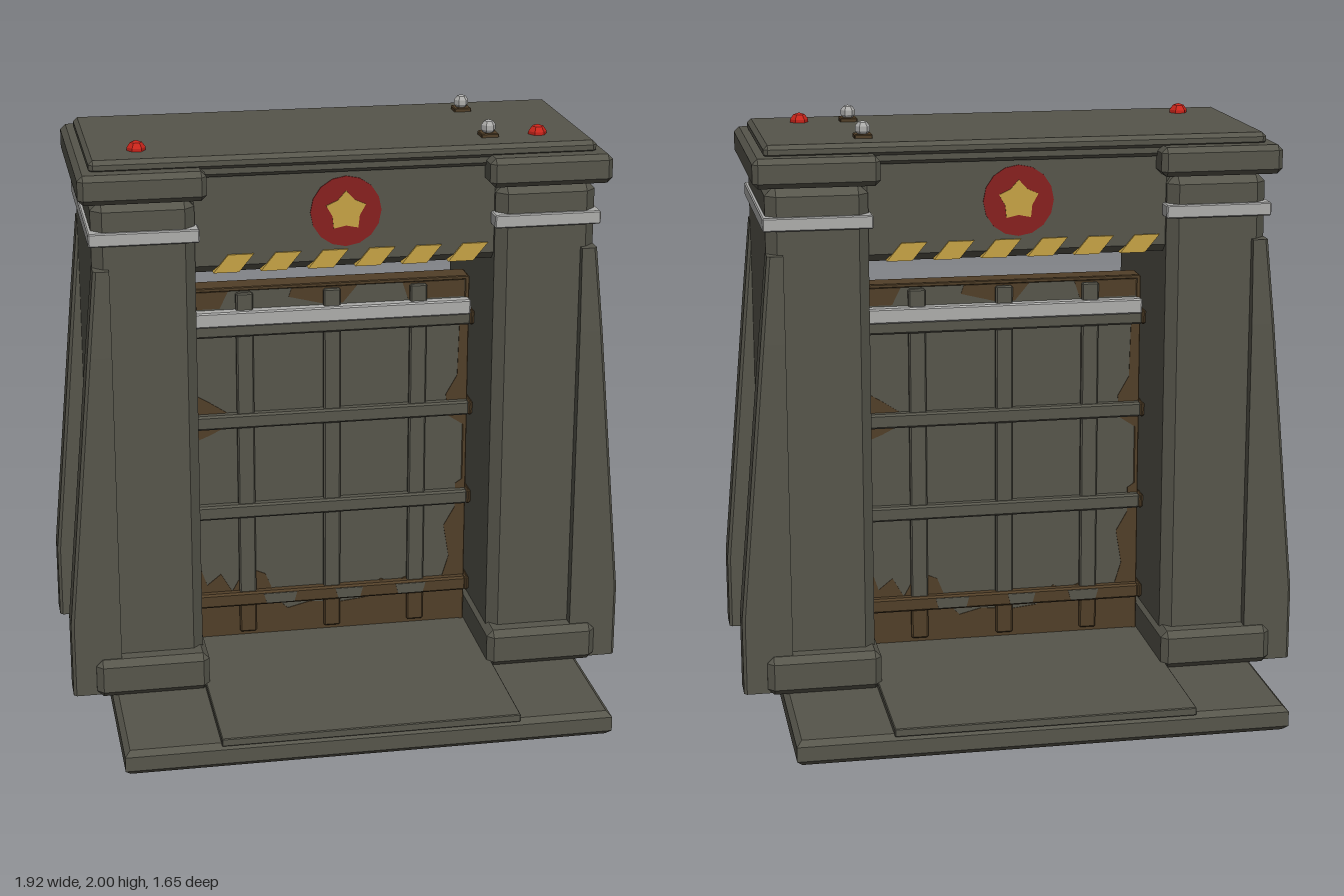
import * as THREE from 'three';
import { ConvexGeometry } from 'three/addons/geometries/ConvexGeometry.js';

const paint = (name, color) => {
  const m = new THREE.MeshStandardMaterial({ color });
  m.name = name;
  return m;
};

export function createModel() {
  const concrete = paint('concrete grey', 0x56554b);
  const steel = paint('pale steel', 0xadadab);
  const rust = paint('rust brown', 0x513f28);
  const red = paint('emblem red', 0x87201f);
  const lampRed = paint('lamp red', 0xc9241a);
  const yellow = paint('warning yellow', 0xc6a245);
  const model = new THREE.Group();

  const add = (parent, name, geometry, material) => {
    const mesh = new THREE.Mesh(geometry, material);
    mesh.name = name;
    parent.add(mesh);
    return mesh;
  };

  // Flat-shaded copy of a geometry
  const faceted = (geometry) => {
    const flat = geometry.toNonIndexed();
    flat.computeVertexNormals();
    return flat;
  };

  // Box with chamfered edges, given as ranges
  const block = (parent, name, material, [x0, x1], [y0, y1], [z0, z1], c) => {
    const pts = [];
    for (const i of [0, 1]) for (const j of [0, 1]) for (const k of [0, 1]) {
      const x = i ? x1 : x0, y = j ? y1 : y0, z = k ? z1 : z0;
      const dx = i ? -c : c, dy = j ? -c : c, dz = k ? -c : c;
      pts.push(new THREE.Vector3(x, y + dy, z + dz),
        new THREE.Vector3(x + dx, y, z + dz),
        new THREE.Vector3(x + dx, y + dy, z));
    }
    return add(parent, name, new ConvexGeometry(pts), material);
  };

  // Flat plate facing +z
  const plate = (parent, name, material, points, z, depth = 0.004) => {
    const shape = new THREE.Shape(points.map(([x, y]) => new THREE.Vector2(x, y)));
    const geometry = new THREE.ExtrudeGeometry(shape, { depth, bevelEnabled: false });
    geometry.translate(0, 0, z);
    return add(parent, name, geometry, material);
  };

  // Ground slab, hollow underneath: half section turned on four sides
  const section = [[0, 0.068], [0.8, 0.068], [0.8, 0], [0.806, 0], [0.824, 0.018],
    [0.824, 0.068], [0.806, 0.086], [0, 0.086]];
  const slab = new THREE.LatheGeometry(
    section.map(([half, y]) => new THREE.Vector2(half * Math.SQRT2, y)), 4);
  slab.rotateY(Math.PI / 4);
  add(model, 'groundSlab', faceted(slab), concrete);
  block(model, 'walkway', concrete, [-0.505, 0.505], [0.08, 0.108], [-0.825, 0.825], 0.003);

  // Sloping buttress: outer profile swept between bevelled z slices
  const buttress = () => {
    const pts = [];
    const rows = [[0.09, 0.958, 0.282, 0.394], [0.35, 0.958, 0.282, 0.394],
      [1.3, 0.871, 0.284, 0.392], [1.59, 0.843, 0.295, 0.382]];
    for (const [y, x, z0, z1] of rows) {
      pts.push(new THREE.Vector3(0.79, y, z0), new THREE.Vector3(0.79, y, z1),
        new THREE.Vector3(x - 0.01, y, z0), new THREE.Vector3(x - 0.01, y, z1),
        new THREE.Vector3(x, y, z0 + 0.01), new THREE.Vector3(x, y, z1 - 0.01));
    }
    return new ConvexGeometry(pts);
  };

  // Two pillars, the second turned half round
  for (const turn of [0, Math.PI]) {
    const pillar = new THREE.Group();
    pillar.name = turn ? 'rightPillar' : 'leftPillar';
    pillar.rotation.y = turn;
    model.add(pillar);
    block(pillar, 'shaft', concrete, [0.503, 0.842], [0.085, 1.815], [-0.356, 0.356], 0.035);
    block(pillar, 'plinth', concrete, [0.49, 0.878], [0.085, 0.22], [-0.42, 0.42], 0.022);
    block(pillar, 'steelCollar', steel, [0.492, 0.854], [1.669, 1.714], [-0.37, 0.37], 0.004);
    block(pillar, 'capital', concrete, [0.468, 0.884], [1.812, 1.91], [-0.398, 0.398], 0.018);
    const front = add(pillar, 'frontButtress', buttress(), concrete);
    // Rear buttress is built from the same slices, moved back
    const back = add(pillar, 'backButtress', front.geometry.clone(), concrete);
    back.position.z = -0.676;
  }

  // Roof and lintel
  block(model, 'roof', concrete, [-0.842, 0.842], [1.9, 1.945], [-0.336, 0.336], 0.014);
  block(model, 'roofUnderlayer', concrete, [-0.5, 0.5], [1.872, 1.92], [-0.325, 0.325], 0.012);
  block(model, 'lintel', concrete, [-0.53, 0.53], [1.545, 1.9], [-0.307, 0.307], 0.026);

  // Painted emblem and slanted warning blocks, on both faces
  const ring = (n, radius) => Array.from({ length: n }, (_, i) => {
    const a = Math.PI / 2 + (i * 2 * Math.PI) / n, r = radius(i);
    return [r * Math.cos(a), 1.737 + r * Math.sin(a)];
  });
  for (const turn of [0, Math.PI]) {
    const face = new THREE.Group();
    face.name = turn ? 'backLintelPaint' : 'frontLintelPaint';
    face.rotation.y = turn;
    model.add(face);
    plate(face, 'emblemDisc', red, ring(16, () => 0.119), 0.307);
    plate(face, 'emblemStar', yellow, ring(10, (i) => (i % 2 ? 0.048 : 0.07)), 0.31);
    for (let i = 0; i < 6; i++) {
      const x = -0.388 + i * 0.158;
      plate(face, 'warningStripe', yellow,
        [[x - 0.055, 1.548], [x + 0.03, 1.548], [x + 0.08, 1.608], [x - 0.005, 1.608]], 0.282, 0.033);
    }
  }

  // Door panel
  const door = new THREE.Group();
  door.name = 'door';
  model.add(door);
  block(door, 'panel', concrete, [-0.484, 0.484], [0.105, 1.41], [-0.04, 0.04], 0.006);
  for (const x of [-0.305, 0, 0.305]) {
    block(door, 'verticalRib', concrete, [x - 0.03, x + 0.03], [0.24, 1.395], [-0.058, 0.058], 0.005);
    block(door, 'rustedRibFoot', rust, [x - 0.03, x + 0.03], [0.125, 0.255], [-0.058, 0.058], 0.005);
  }
  for (const y of [0.257, 0.595, 0.933, 1.268]) {
    const low = y < 0.3;
    block(door, 'crossbar', low ? rust : concrete, [-0.49, 0.49], [y - 0.026, y + 0.026], [-0.07, 0.07], 0.007);
    for (const s of [-1, 1]) {
      block(door, 'rustedBarEnd', rust, [s * 0.493 - 0.009, s * 0.493 + 0.009],
        [y - 0.027, y + 0.027], [-0.071, 0.071], 0.007);
    }
  }
  block(door, 'steelBar', steel, [-0.487, 0.487], [1.282, 1.335], [-0.077, 0.077], 0.005);
  for (const s of [-1, 1]) {
    block(door, 'rustedSideEdge', rust, [s * 0.48 - 0.008, s * 0.48 + 0.008], [0.105, 1.412], [-0.043, 0.043], 0.003);
  }
  block(door, 'rustedTopEdge', rust, [-0.484, 0.484], [1.4, 1.414], [-0.043, 0.043], 0.003);

  // Rust patches on both door faces
  const patches = [
    [[-0.48, 0.11], [0.48, 0.11], [0.48, 0.66], [0.45, 0.64], [0.45, 0.55], [0.41, 0.48], [0.43, 0.36],
      [0.4, 0.26], [0.3, 0.3], [0.22, 0.27], [0.18, 0.29], [0.12, 0.22], [0.03, 0.21], [-0.08, 0.22],
      [-0.16, 0.2], [-0.2, 0.24], [-0.24, 0.34], [-0.31, 0.37], [-0.36, 0.28], [-0.4, 0.35], [-0.45, 0.31], [-0.48, 0.4]],
    [[-0.48, 0.86], [-0.43, 0.88], [-0.37, 0.91], [-0.37, 0.96], [-0.43, 1.0], [-0.48, 1.03]],
    [[0.48, 0.86], [0.48, 1.25], [0.455, 1.24], [0.45, 1.05], [0.41, 0.98], [0.42, 0.9]],
    [[-0.47, 1.34], [-0.39, 1.34], [-0.36, 1.4], [-0.47, 1.4]],
    [[-0.15, 1.37], [-0.03, 1.34], [0.04, 1.34], [0.09, 1.4], [-0.14, 1.4]],
    [[0.27, 1.34], [0.47, 1.34], [0.47, 1.4], [0.25, 1.4]],
  ];
  for (const turn of [0, Math.PI]) {
    const face = new THREE.Group();
    face.name = turn ? 'backRust' : 'frontRust';
    face.rotation.y = turn;
    door.add(face);
    patches.forEach((p) => plate(face, 'rustPatch', rust, p, 0.039));
    // Bare stretches of the rusted lowest bar
    for (const [a, b] of [[-0.24, -0.14], [0.02, 0.1], [0.24, 0.33]]) {
      plate(face, 'barePatch', concrete, [[a, 0.238], [b, 0.238], [b + 0.01, 0.275], [a - 0.01, 0.275]], 0.069);
    }
  }

  // Roof lamps
  const lampBall = (name, radius, material, x, y, z) => {
    const ball = faceted(new THREE.SphereGeometry(radius, 6, 5));
    add(model, name, ball, material).position.set(x, y, z);
  };
  for (const x of [-0.675, 0.672]) lampBall('redLamp', 0.033, lampRed, x, 1.945, 0.2);
  for (const z of [-0.2, 0.2]) {
    block(model, 'lampBase', rust, [0.473, 0.533], [1.94, 1.958], [z - 0.03, z + 0.03], 0.003);
    lampBall('paleLamp', 0.026, steel, 0.503, 1.975, z);
  }
  return model;
}
